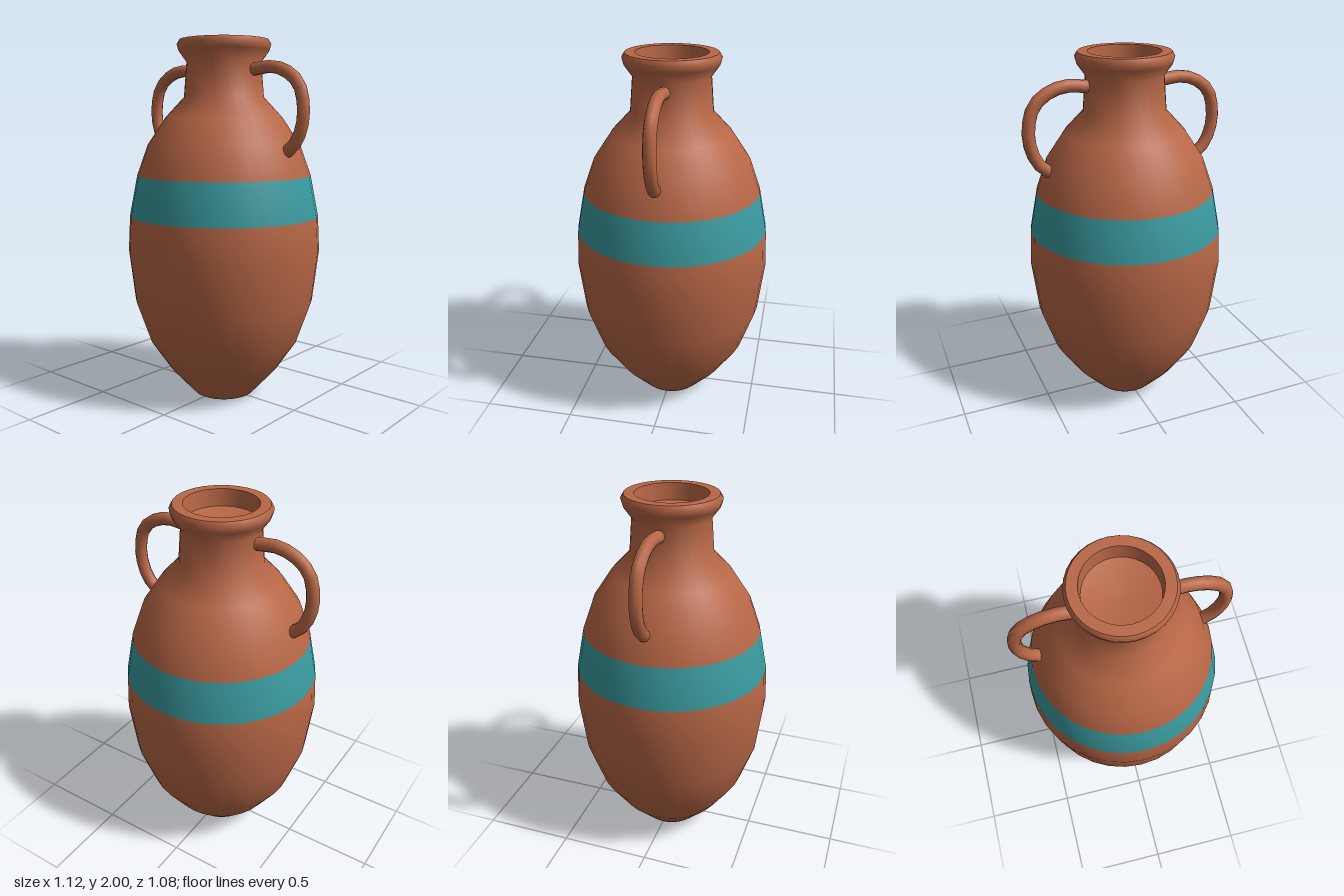
import * as THREE from 'three';

const SIDES = 32;
const clay = new THREE.MeshStandardMaterial({ name: 'terracotta', color: 0xb86746 });
const teal = new THREE.MeshStandardMaterial({ name: 'teal glaze', color: 0x3a9ba0 });

const lathe = (points) =>
  new THREE.LatheGeometry(points.map(([r, y]) => new THREE.Vector2(r, y)), SIDES);

function addMesh(parent, name, geometry, material) {
  const mesh = new THREE.Mesh(geometry, material);
  mesh.name = name;
  parent.add(mesh);
  return mesh;
}

// Keep only the lathe rings from one profile point to another, with their smooth normals
function rings(source, count, from, to) {
  const geometry = source.clone();
  const index = source.index.array;
  const kept = [];
  for (let i = 0; i < index.length; i += 3) {
    const tri = [index[i], index[i + 1], index[i + 2]];
    const ring = Math.min(...tri.map((v) => v % count));
    if (ring >= from && ring < to) kept.push(...tri);
  }
  geometry.setIndex(kept);
  return geometry;
}

// One looped handle on the +x side, with rounded ends
function makeHandle(name) {
  const handle = new THREE.Group();
  handle.name = name;
  const path = new THREE.CatmullRomCurve3(
    [[0.19, 1.83], [0.33, 1.843], [0.43, 1.81], [0.5, 1.745], [0.53, 1.61],
      [0.51, 1.5], [0.468, 1.43], [0.433, 1.403]].map(([x, y]) => new THREE.Vector3(x, y, 0)));
  addMesh(handle, name + 'Loop', new THREE.TubeGeometry(path, 12, 0.034, 10), clay);
  for (const t of [0, 1]) {
    const end = addMesh(handle, name + 'End', new THREE.SphereGeometry(0.033, 10, 8), clay);
    end.position.copy(path.getPoint(t));
  }
  return handle;
}

export function createModel() {
  const jar = new THREE.Group();
  jar.name = 'jar';

  // Outer wall from base to rim; the painted band is rings 7 to 8
  const profile = [
    [0, 0], [0.172, 0], [0.2, 0.03], [0.31, 0.15], [0.425, 0.32], [0.505, 0.55], [0.54, 0.84],
    [0.53, 1.035], [0.486, 1.26], [0.425, 1.43], [0.325, 1.58], [0.222, 1.69],
    [0.207, 1.88], [0.25, 1.94], [0.26, 1.975], [0.245, 2],
  ];
  const n = profile.length;
  const wall = lathe(profile);
  addMesh(jar, 'lowerBody', rings(wall, n, 0, 7), clay);
  addMesh(jar, 'paintedBand', rings(wall, n, 7, 8), teal);
  addMesh(jar, 'shoulderNeckAndRim', rings(wall, n, 8, n), clay);

  // Flat lip, mouth wall and shallow dished floor of the mouth
  addMesh(jar, 'lip', lathe([[0.245, 2], [0.192, 2]]), clay);
  addMesh(jar, 'mouthWall', lathe([[0.192, 2], [0.185, 1.91]]), clay);
  addMesh(jar, 'mouthFloor', lathe([[0.185, 1.91], [0.1, 1.89], [0, 1.885]]), clay);

  // Handles on both sides
  jar.add(makeHandle('leftHandle'));
  const right = makeHandle('rightHandle');
  right.rotation.y = Math.PI;
  jar.add(right);

  return jar;
}
